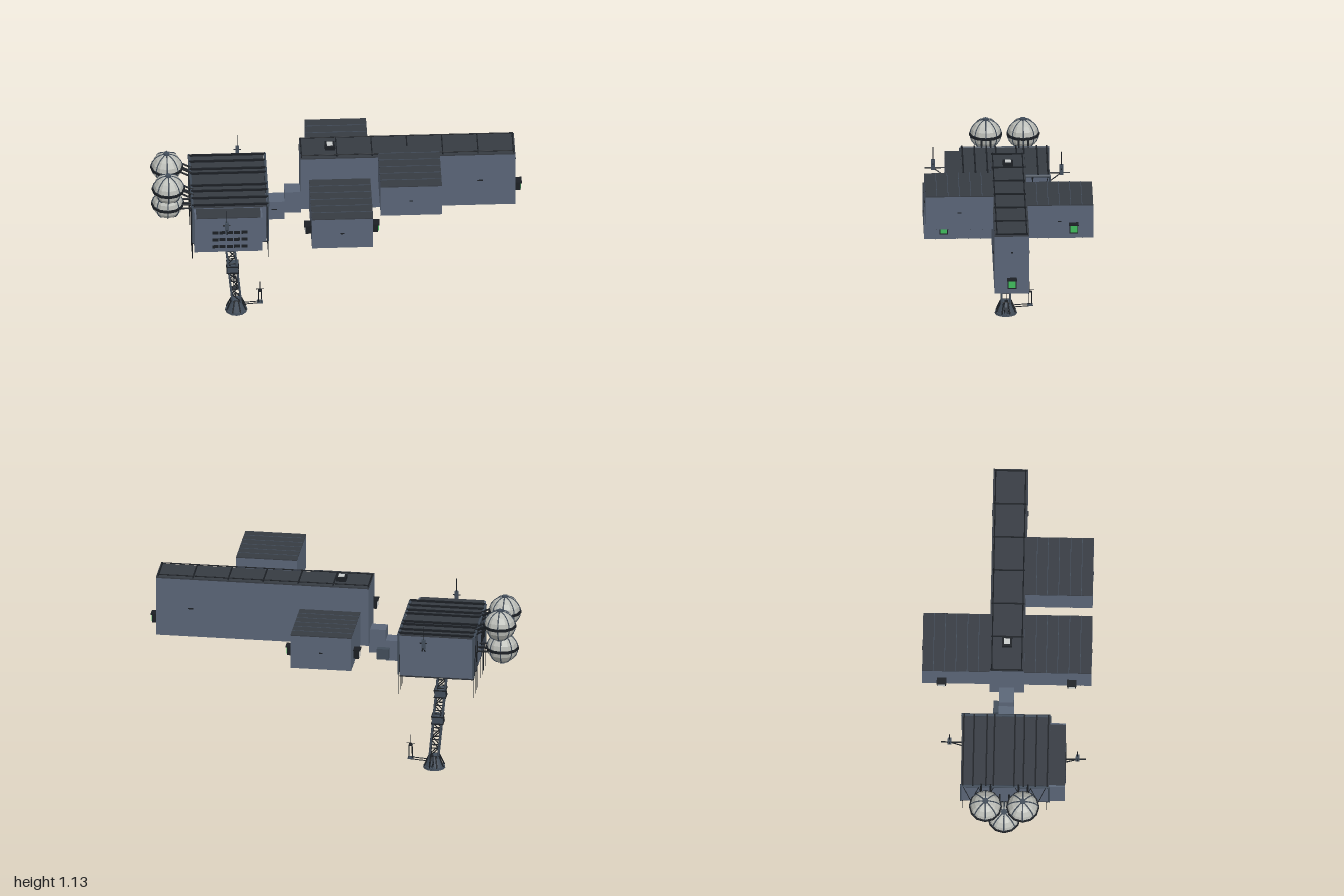
import * as THREE from 'three';

const material = (name, color) => {
  const m = new THREE.MeshStandardMaterial({ color });
  m.name = name;
  return m;
};

export function createModel() {
  const hull = material('slate hull', 0x5a6577);
  const roof = material('dark roof', 0x363b42);
  const iron = material('black iron', 0x1b1f24);
  const steel = material('blue steel', 0x424d5a);
  const tank = material('pale tank', 0xbabcb6);
  const green = material('green light', 0x40bb5c);
  const lens = material('white lens', 0xc9cccb);

  const model = new THREE.Group();
  model.name = 'station';
  const group = (name, parent = model) => {
    const g = new THREE.Group();
    g.name = name;
    parent.add(g);
    return g;
  };
  const add = (parent, name, geo, mat, x = 0, y = 0, z = 0) => {
    const m = new THREE.Mesh(geo, mat);
    m.name = name;
    m.position.set(x, y, z);
    parent.add(m);
    return m;
  };
  // Box given by its limits on each axis
  const box = (parent, name, mat, x0, x1, y0, y1, z0, z1) =>
    add(parent, name, new THREE.BoxGeometry(x1 - x0, y1 - y0, z1 - z0), mat,
      (x0 + x1) / 2, (y0 + y1) / 2, (z0 + z1) / 2);
  // Round bar between two points
  const bar = (parent, name, mat, a, b, r, sides = 6) => {
    const p = new THREE.Vector3(...a), q = new THREE.Vector3(...b);
    const d = q.clone().sub(p), c = p.add(q).multiplyScalar(0.5);
    const m = add(parent, name, new THREE.CylinderGeometry(r, r, d.length(), sides), mat, c.x, c.y, c.z);
    m.quaternion.setFromUnitVectors(new THREE.Vector3(0, 1, 0), d.normalize());
    return m;
  };

  // Signal light on a wall facing +x or -x
  const signal = (x, y, z, dir, mat) => {
    const g = group('signalLight');
    g.position.set(x, y, z);
    if (dir < 0) g.rotation.y = Math.PI;
    box(g, 'lightHousing', iron, 0, 0.03, -0.025, 0.025, -0.023, 0.023);
    box(g, 'lightHood', iron, 0, 0.038, 0.02, 0.027, -0.026, 0.026);
    box(g, 'lightFace', mat, 0.03, 0.034, -0.018, 0.018, -0.018, 0.018);
  };

  // Long central hall with roof plates and edge rails
  const hall = group('centralHall');
  box(hall, 'hallBody', hull, -0.195, 0.96, 0.725, 1.055, -0.093, 0.093);
  box(hall, 'hallRoof', roof, -0.195, 0.96, 1.055, 1.062, -0.093, 0.093);
  for (let i = 0; i <= 6; i++) {
    const x = -0.19 + i * 0.19;
    box(hall, 'roofRib', iron, x - 0.003, x + 0.003, 1.06, 1.07, -0.088, 0.088);
    for (const s of [-1, 1]) bar(hall, 'railPost', iron, [x, 1.06, s * 0.08], [x, 1.073, s * 0.08], 0.003);
  }
  for (const s of [-1, 1]) bar(hall, 'roofRail', iron, [-0.19, 1.072, s * 0.08], [0.955, 1.072, s * 0.08], 0.003);
  box(hall, 'beaconBase', iron, -0.062, -0.008, 1.06, 1.086, -0.027, 0.027);
  box(hall, 'beaconLens', lens, -0.051, -0.019, 1.086, 1.091, -0.016, 0.016);
  for (const s of [-1, 1]) box(hall, 'wallHandle', iron, 0.755, 0.785, 0.885, 0.891, s * 0.095 - 0.003, s * 0.095 + 0.003);
  box(hall, 'endHandle', iron, 0.96, 0.966, 0.96, 0.966, -0.006, 0.006);
  signal(0.96, 0.79, 0, 1, green);

  // Side modules with seamed roofs and undersides
  const sideModule = (name, x0, y0, z0, z1) => {
    const g = group(name), x1 = x0 + 0.33, y1 = y0 + 0.187;
    box(g, 'moduleBody', hull, x0, x1, y0, y1, z0, z1);
    box(g, 'moduleRoof', roof, x0, x1, y1, y1 + 0.005, z0, z1);
    for (let i = 1; i < 6; i++) {
      const z = z0 + (z1 - z0) * i / 6;
      box(g, 'roofSeam', steel, x0, x1, y1 + 0.004, y1 + 0.007, z - 0.0015, z + 0.0015);
      box(g, 'floorSeam', iron, x0, x1, y0 - 0.002, y0, z - 0.0015, z + 0.0015);
    }
    const face = z1 > 0 ? z1 : z0;
    box(g, 'wallHandle', iron, x0 + 0.155, x0 + 0.175, y0 + 0.092, y0 + 0.097, face - 0.004, face + 0.004);
    box(g, 'sideHandle', iron, x1, x1 + 0.005, y0 + 0.093, y0 + 0.099, (z0 + z1) / 2 - 0.01, (z0 + z1) / 2 + 0.01);
  };
  sideModule('frontModule', -0.15, 0.727, 0.093, 0.455);
  sideModule('backModule', -0.15, 0.727, -0.455, -0.093);
  sideModule('upperModule', 0.22, 0.933, 0.09, 0.455);
  for (const z of [-0.35, 0.35]) {
    signal(0.18, 0.79, z, 1, green);
    signal(-0.15, 0.79, z, -1, lens);
  }

  // Stepped passage joining the hall to the cabin
  const passage = group('passage');
  box(passage, 'upperPassage', hull, -0.28, -0.19, 0.665, 0.8, -0.04, 0.04);
  box(passage, 'lowerPassage', hull, -0.39, -0.28, 0.625, 0.74, -0.042, 0.042);
  box(passage, 'passageLocker', steel, -0.3, -0.235, 0.64, 0.7, -0.07, -0.04);
  box(passage, 'passageHandle', iron, -0.35, -0.32, 0.688, 0.693, 0.042, 0.046);

  // Cabin with front bay
  const cabin = group('cabin');
  box(cabin, 'cabinBody', hull, -0.78, -0.385, 0.625, 0.855, -0.235, 0.24);
  box(cabin, 'cabinRoof', roof, -0.78, -0.385, 0.855, 0.862, -0.235, 0.24);
  box(cabin, 'cabinFloor', roof, -0.78, -0.385, 0.62, 0.625, -0.235, 0.24);
  box(cabin, 'frontBay', hull, -0.775, -0.41, 0.625, 0.845, 0.24, 0.325);
  box(cabin, 'bayRoof', roof, -0.765, -0.42, 0.845, 0.85, 0.24, 0.325);
  for (const z of [-0.225, -0.17, -0.1, -0.06, 0.05, 0.1, 0.165, 0.23]) {
    box(cabin, 'roofBeam', iron, -0.785, -0.375, 0.86, 0.873, z - 0.004, z + 0.004);
    box(cabin, 'floorBeam', iron, -0.78, -0.38, 0.614, 0.62, z - 0.003, z + 0.003);
  }
  for (const x of [-0.783, -0.376]) {
    bar(cabin, 'edgePipe', steel, [x, 0.86, -0.24], [x, 0.86, 0.24], 0.008);
    for (const z of [-0.235, 0.24]) bar(cabin, 'cornerPipe', steel, [x, 0.63, z], [x, 0.86, z], 0.005);
    // Hanging rods and zigzag bracing at each end
    for (const z of [-0.225, -0.16, -0.11, -0.08, 0.055, 0.105, 0.16, 0.225])
      bar(cabin, 'hangingRod', iron, [x, 0.51, z], [x, 0.63, z], 0.0018, 4);
    for (const z of [-0.18, -0.1, 0.1, 0.18])
      for (const s of [-1, 1])
        bar(cabin, 'brace', iron, [x, 0.62, z], [x, 0.86, z + s * 0.045], 0.0022, 4);
  }
  for (let row = 0; row < 3; row++)
    for (let col = 0; col < 5; col++) {
      const x = -0.664 + col * 0.039, y = 0.66 + row * 0.046;
      box(cabin, 'window', iron, x - 0.016, x + 0.016, y - 0.009, y + 0.009, 0.323, 0.328);
    }

  // Aerials on the front and back walls of the cabin
  for (const [x, wall, s] of [[-0.605, 0.325, 1], [-0.52, -0.235, -1]]) {
    const g = group('cabinAerial'), z = wall + s * 0.065;
    bar(g, 'aerialBoom', iron, [x, 0.82, wall], [x, 0.82, wall + s * 0.11], 0.004);
    bar(g, 'aerialStay', iron, [x, 0.77, wall], [x, 0.82, z], 0.003);
    box(g, 'aerialBox', steel, x - 0.01, x + 0.01, 0.81, 0.865, z - 0.01, z + 0.01);
    bar(g, 'aerialRod', iron, [x, 0.86, z], [x, 0.94, z], 0.0022);
    bar(g, 'aerialCrossbar', iron, [x - 0.02, 0.845, z], [x + 0.02, 0.845, z], 0.003);
  }

  // Banded spherical tanks
  for (const [y, z] of [[0.89, 0.1], [0.89, -0.1], [0.72, 0]]) {
    const g = group('tank'), r = 0.083;
    g.position.set(-0.908, y, z);
    const ball = new THREE.SphereGeometry(r, 12, 8).toNonIndexed();
    ball.computeVertexNormals();
    add(g, 'tankShell', ball, tank);
    for (let i = 0; i < 4; i++)
      add(g, 'meridianBand', new THREE.TorusGeometry(r, 0.0035, 4, 24), steel).rotation.y = i * Math.PI / 4;
    add(g, 'equatorBand', new THREE.CylinderGeometry(r + 0.006, r + 0.006, 0.014, 12), iron);
    for (const s of [-1, 1]) add(g, 'tankCap', new THREE.CylinderGeometry(0.016, 0.016, 0.014, 8), steel, 0, s * r, 0);
    for (const h of [-0.02, 0.005])
      for (const k of [-0.025, 0.025])
        bar(g, 'tankStrut', iron, [0.07, h, k], [0.135, h - (y > 0.8 ? 0.035 : 0), k], 0.005);
  }

  // Leaning lattice mast
  const mast = group('mast');
  const axis = y => -0.535 - (y - 0.05) * 0.096;
  add(mast, 'footPlate', new THREE.CylinderGeometry(0.058, 0.06, 0.012, 12), steel, -0.538, 0.006, 0);
  add(mast, 'footCone', new THREE.CylinderGeometry(0.027, 0.05, 0.06, 12), steel, -0.538, 0.042, 0);
  for (let i = 0; i < 8; i++) {
    const a = (i + 0.5) * Math.PI / 4, c = Math.cos(a), s = Math.sin(a);
    bar(mast, 'footRib', iron, [-0.538 + c * 0.056, 0.012, s * 0.056], [-0.538 + c * 0.03, 0.07, s * 0.03], 0.004);
  }
  const w = 0.023;
  for (const sx of [-1, 1])
    for (const sz of [-1, 1])
      bar(mast, 'mastLeg', steel, [axis(0.06) + sx * w, 0.06, sz * w], [axis(0.62) + sx * w, 0.62, sz * w], 0.0055);
  for (let i = 0; i < 11; i++) {
    const y = 0.07 + i * 0.05, x = axis(y), x2 = axis(y + 0.05), t = i % 2 ? 1 : -1;
    for (const s of [-1, 1]) {
      bar(mast, 'rung', iron, [x + s * w, y, -w], [x + s * w, y, w], 0.0035);
      bar(mast, 'sideRung', iron, [x - w, y, s * w], [x + w, y, s * w], 0.0035);
      bar(mast, 'diagonal', iron, [x - t * w, y, s * w], [x2 + t * w, y + 0.05, s * w], 0.003);
    }
  }
  for (const y of [0.283, 0.438]) {
    const x = axis(y);
    box(mast, 'mastCollar', steel, x - 0.029, x + 0.029, y - 0.025, y + 0.025, -0.029, 0.029);
    for (const s of [-1, 1]) {
      box(mast, 'collarFlange', iron, x - 0.033, x + 0.033, y + s * 0.02 - 0.003, y + s * 0.02 + 0.003, -0.033, 0.033);
      box(mast, 'collarHatch', iron, x + s * 0.031 - 0.003, x + s * 0.031 + 0.003, y - 0.006, y + 0.008, -0.012, 0.012);
    }
  }
  box(mast, 'mastHead', steel, axis(0.615) - 0.03, axis(0.615) + 0.03, 0.608, 0.626, -0.032, 0.032);

  // Two small pylons reached by arms from the mast foot
  for (const turn of [0, Math.PI / 2]) {
    const g = group('pylon');
    g.position.set(-0.54, 0, 0);
    g.rotation.y = turn;
    for (const y of [0.034, 0.046]) bar(g, 'pylonArm', iron, [0.04, y, 0], [0.13, y + 0.006, 0], 0.0025);
    box(g, 'pylonTray', steel, 0.115, 0.145, 0.045, 0.05, -0.015, 0.015);
    for (const sx of [-1, 1])
      for (const sz of [-1, 1])
        bar(g, 'pylonLeg', iron, [0.13 + sx * 0.009, 0.05, sz * 0.009], [0.13 + sx * 0.008, 0.122, sz * 0.008], 0.0018, 4);
    box(g, 'pylonTop', iron, 0.12, 0.14, 0.12, 0.124, -0.01, 0.01);
    bar(g, 'pylonRod', iron, [0.13, 0.12, 0], [0.13, 0.18, 0], 0.0018, 4);
    bar(g, 'pylonCrossbar', iron, [0.108, 0.132, 0], [0.152, 0.132, 0], 0.0018, 4);
  }
  return model;
}
